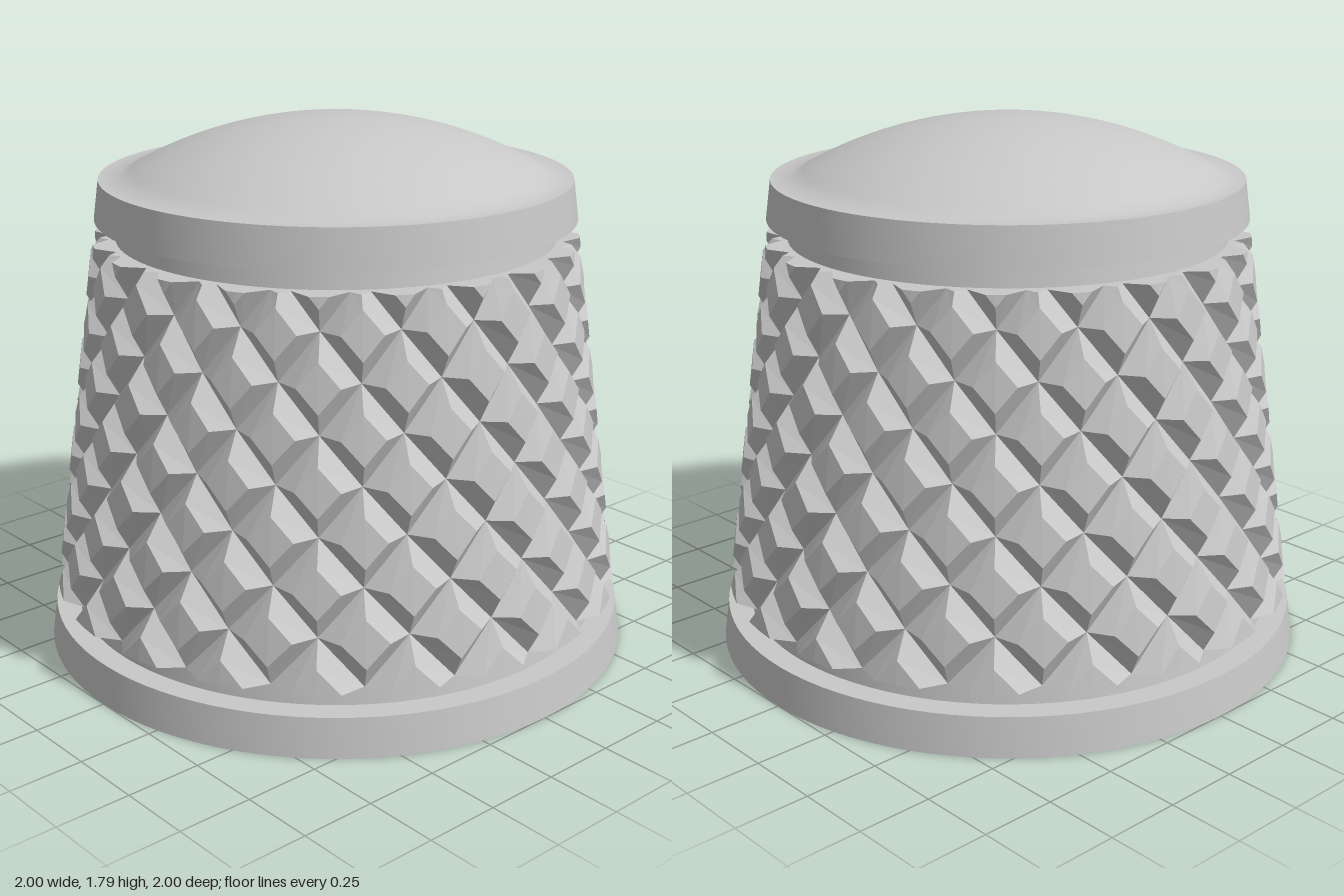
import * as THREE from 'three';
import { toCreasedNormals } from 'three/addons/utils/BufferGeometryUtils.js';

const COLUMNS = 20;          // diamonds around
const PITCH = 0.155;         // half the height of a diamond
const BOTTOM = 0.2, TOP = 1.4;
const DEPTH = 0.054;         // groove depth
const FLAT = 0.5;            // flat top as a share of the diamond

const outerRadius = (y) => 1 - 0.1375 * y;

// Keep the part of a polygon on one side of a horizontal plane
function clip(poly, level, sign) {
  const out = [];
  poly.forEach((p, i) => {
    const q = poly[(i + 1) % poly.length];
    const dp = sign * (p.y - level), dq = sign * (q.y - level);
    if (dp >= 0) out.push(p);
    if ((dp > 0 && dq < 0) || (dp < 0 && dq > 0)) {
      const cut = p.clone().lerp(q, dp / (dp - dq));
      cut.y = level;
      out.push(cut);
    }
  });
  return out;
}

// Truncated pyramids in a staggered diamond grid on the cone
function knurlGeometry() {
  const positions = [];
  const point = (a, y, depth) => {
    const r = outerRadius(y) - depth;
    return new THREE.Vector3(r * Math.sin(a), y, r * Math.cos(a));
  };
  const fan = (poly) => {
    for (let i = 1; i + 1 < poly.length; i++) {
      for (const p of [poly[0], poly[i], poly[i + 1]]) positions.push(p.x, p.y, p.z);
    }
  };
  const inward = (p) => {
    const s = 0.7 / Math.hypot(p.x, p.z);
    return new THREE.Vector3(p.x * s, p.y, p.z * s);
  };
  const addFace = (poly) => {
    const cut = clip(clip(poly, BOTTOM, 1), TOP, -1);
    if (cut.length < 3) return;
    fan(cut);
    // Close the end rims back to the core
    cut.forEach((p, i) => {
      const q = cut[(i + 1) % cut.length];
      const onRim = (level) => Math.abs(p.y - level) < 1e-6 && Math.abs(q.y - level) < 1e-6;
      if (onRim(BOTTOM) || onRim(TOP)) fan([q, p, inward(p), inward(q)]);
    });
  };

  const step = Math.PI / COLUMNS;
  const corners = [[0, -1], [1, 0], [0, 1], [-1, 0]];
  for (let row = 0; row <= 8; row++) {
    const y = BOTTOM + row * PITCH;
    for (let col = 0; col < COLUMNS; col++) {
      const a = (2 * col + (row % 2 ? 0 : 1)) * step;
      const base = corners.map(([u, v]) => point(a + u * step, y + v * PITCH, DEPTH));
      const tip = corners.map(([u, v]) => point(a + u * step * FLAT, y + v * PITCH * FLAT, 0));
      addFace([tip[0], tip[1], tip[2]]);
      addFace([tip[0], tip[2], tip[3]]);
      for (let i = 0; i < 4; i++) {
        const j = (i + 1) % 4;
        addFace([base[i], base[j], tip[j], tip[i]]);
      }
    }
  }
  const geometry = new THREE.BufferGeometry();
  geometry.setAttribute('position', new THREE.Float32BufferAttribute(positions, 3));
  geometry.computeVertexNormals();
  return geometry;
}

export function createModel() {
  const grey = new THREE.MeshStandardMaterial({ color: 0xc8c8c8 });
  grey.name = 'grey';
  const model = new THREE.Group();
  model.name = 'knurledKnob';

  // Core with bore, base flange, neck, cap band and domed top
  const profile = [
    [0, 0.67], [0.62, 0.67], [0.62, 0], [1, 0], [outerRadius(0.13), 0.13],
    [0.903, 0.13], [0.721, 1.47], [outerRadius(1.47), 1.47], [0.78, 1.6],
  ].map(([r, y]) => new THREE.Vector2(r, y));
  const domeEdge = 0.715, domeHeight = 0.193;
  const domeRadius = (domeEdge ** 2 + domeHeight ** 2) / (2 * domeHeight);
  const domeAngle = Math.asin(domeEdge / domeRadius);
  for (let i = 0; i <= 16; i++) {
    const t = domeAngle * (1 - i / 16);
    profile.push(new THREE.Vector2(
      domeRadius * Math.sin(t),
      1.6 + domeHeight - domeRadius * (1 - Math.cos(t)),
    ));
  }
  const body = new THREE.Mesh(toCreasedNormals(new THREE.LatheGeometry(profile, 96), 0.6), grey);
  body.name = 'body';
  model.add(body);

  const grip = new THREE.Mesh(knurlGeometry(), grey);
  grip.name = 'diamondGrip';
  model.add(grip);
  return model;
}
